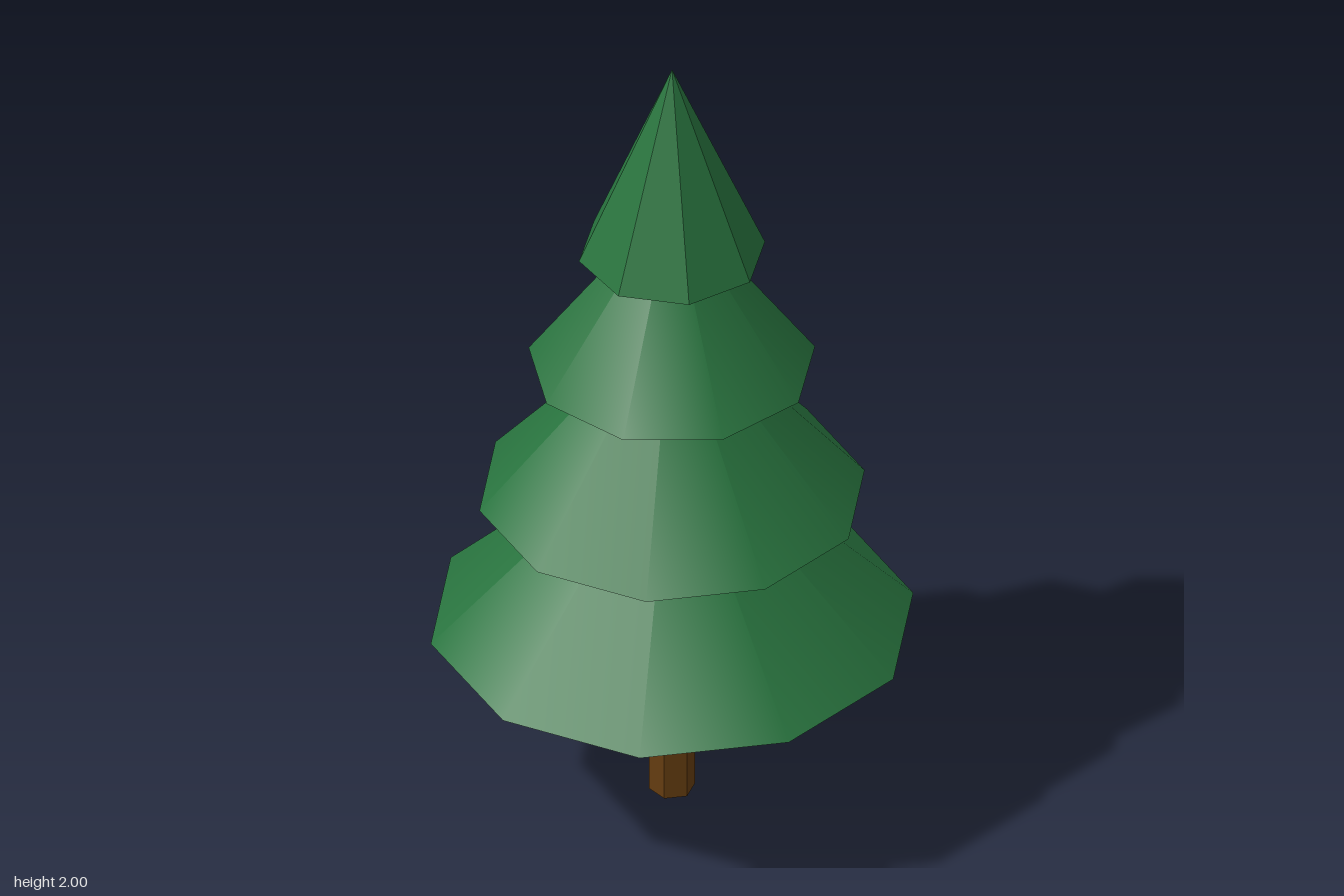
import * as THREE from 'three';

const needleGreen = new THREE.MeshStandardMaterial({ name: 'needleGreen', color: 0x28733e });
const barkBrown = new THREE.MeshStandardMaterial({ name: 'barkBrown', color: 0x643c10 });

// Splits shared corners so every side is flat
function faceted(geometry) {
  const flat = geometry.toNonIndexed();
  flat.computeVertexNormals();
  return flat;
}

// Closed cone standing on y = 0 with one corner on +x
function cone(radius, height, sides) {
  return new THREE.ConeGeometry(radius, height, sides, 1, false, Math.PI / 2)
    .translate(0, height / 2, 0);
}

export function createModel() {
  const tree = new THREE.Group();
  tree.name = 'pineTree';

  const add = (name, geometry, material, y) => {
    const mesh = new THREE.Mesh(geometry, material);
    mesh.name = name;
    mesh.position.y = y;
    tree.add(mesh);
  };

  // Hexagonal trunk, running a little into the lowest branches
  const trunk = new THREE.CylinderGeometry(0.053, 0.053, 0.5, 6, 1, false, Math.PI / 2);
  add('trunk', faceted(trunk), barkBrown, 0.25);

  // Smooth branch tiers: base height, radius, cone height, sides
  const tiers = [
    ['lowerBranches', 0.468, 0.56, 0.555, 10],
    ['middleBranches', 0.825, 0.447, 0.52, 10],
    ['upperBranches', 1.185, 0.332, 0.455, 9],
  ];
  for (const [name, y, radius, height, sides] of tiers) {
    add(name, cone(radius, height, sides), needleGreen, y);
  }

  // Faceted tip
  add('treeTop', faceted(cone(0.216, 0.508, 8)), needleGreen, 1.492);

  return tree;
}
